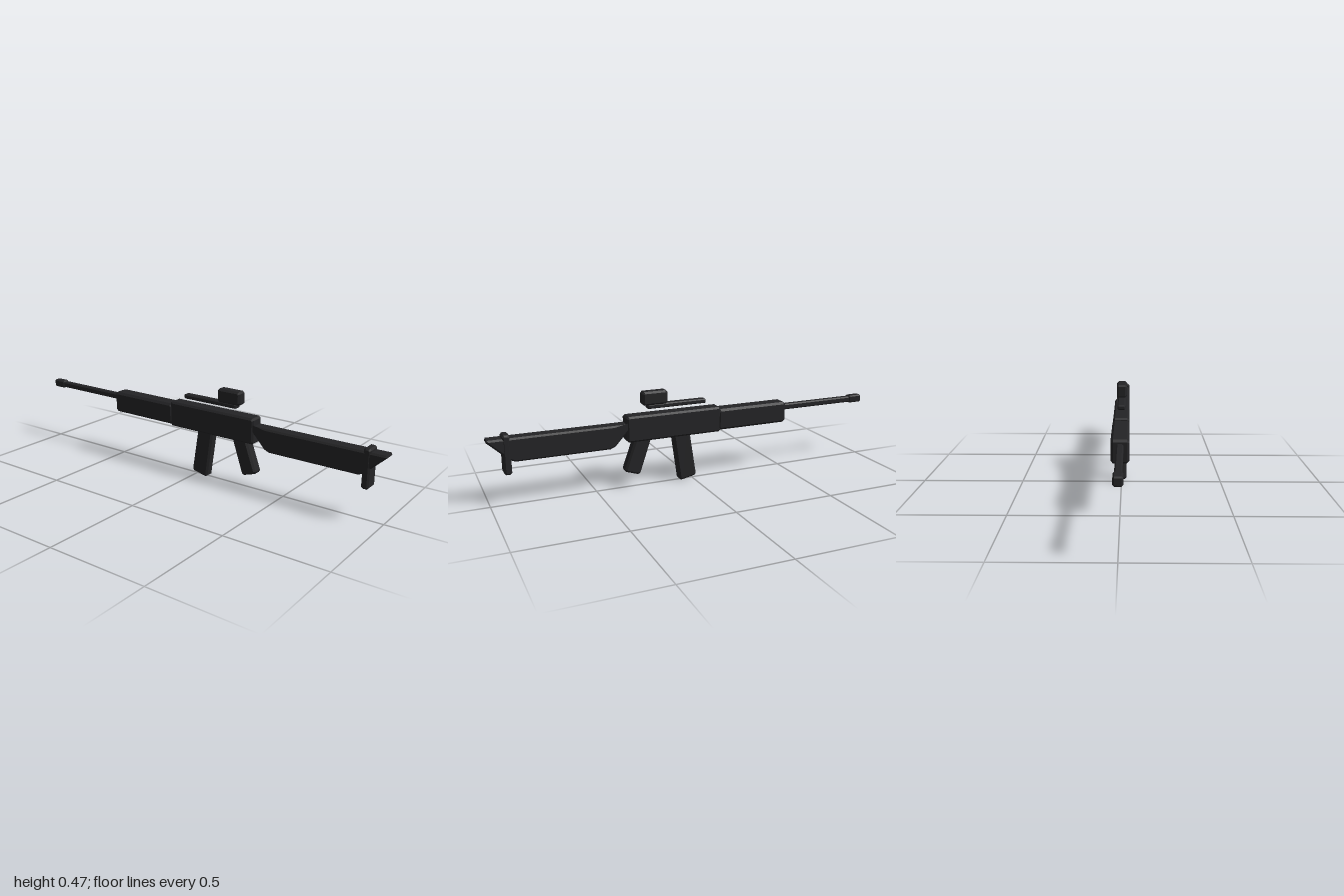
import * as THREE from 'three';

const material = new THREE.MeshStandardMaterial({ color: 0x242426, flatShading: true });

// Cuts every corner of a side profile by a short distance
function cutCorners(points, cut) {
  const pts = points.map(([z, y]) => new THREE.Vector2(z, y));
  const out = [];
  pts.forEach((p, i) => {
    for (const q of [pts[(i + pts.length - 1) % pts.length], pts[(i + 1) % pts.length]]) {
      out.push(q.clone().sub(p).setLength(cut).add(p));
    }
  });
  return out;
}

// Chamfered solid from a [z, y] profile, centred on x = 0
function addPart(group, name, profile, halfWidth, bevel = 0.009, cut = bevel) {
  const shape = new THREE.Shape(cutCorners(profile, cut));
  const geometry = new THREE.ExtrudeGeometry(shape, {
    depth: 2 * (halfWidth - bevel),
    bevelEnabled: true,
    bevelSegments: 1,
    bevelThickness: bevel,
    bevelSize: bevel,
    bevelOffset: -bevel,
  });
  geometry.translate(0, 0, bevel - halfWidth);
  geometry.rotateY(-Math.PI / 2);
  const mesh = new THREE.Mesh(geometry, material);
  mesh.name = name;
  group.add(mesh);
}

const rect = (z0, z1, y0, y1) => [[z0, y0], [z1, y0], [z1, y1], [z0, y1]];

export function createModel() {
  const group = new THREE.Group();
  group.name = 'rifle';

  // Main body
  addPart(group, 'receiver', rect(-0.145, 0.348, 0.235, 0.362), 0.038);
  addPart(group, 'handguard', rect(-0.515, -0.13, 0.243, 0.35), 0.041, 0.011);

  // Barrel and muzzle
  addPart(group, 'barrel', rect(-0.95, -0.5, 0.302, 0.332), 0.016, 0.006);
  addPart(group, 'muzzle', rect(-1, -0.925, 0.298, 0.337), 0.02, 0.006);

  // Stock with slanted ends, and its upright butt plate
  addPart(group, 'stock',
    [[0.415, 0.213], [0.89, 0.213], [1.011, 0.326], [0.325, 0.326], [0.325, 0.31]],
    0.034, 0.008, 0.0079 * 2 - 0.008 * 0.1);
  addPart(group, 'buttPlate', rect(0.895, 0.93, 0.155, 0.342), 0.036, 0.008);

  // Slanted grip and magazine
  addPart(group, 'grip', [[0.284, 0.063], [0.362, 0.088], [0.296, 0.268], [0.214, 0.268]], 0.028);
  addPart(group, 'magazine', [[-0.017, 0.018], [0.073, 0], [0.111, 0.27], [0.022, 0.27]], 0.025);

  // Sight on its raised rail
  addPart(group, 'rail', rect(-0.07, 0.237, 0.386, 0.408), 0.019, 0.005);
  addPart(group, 'sight', rect(0.134, 0.262, 0.405, 0.472), 0.026);

  return group;
}
